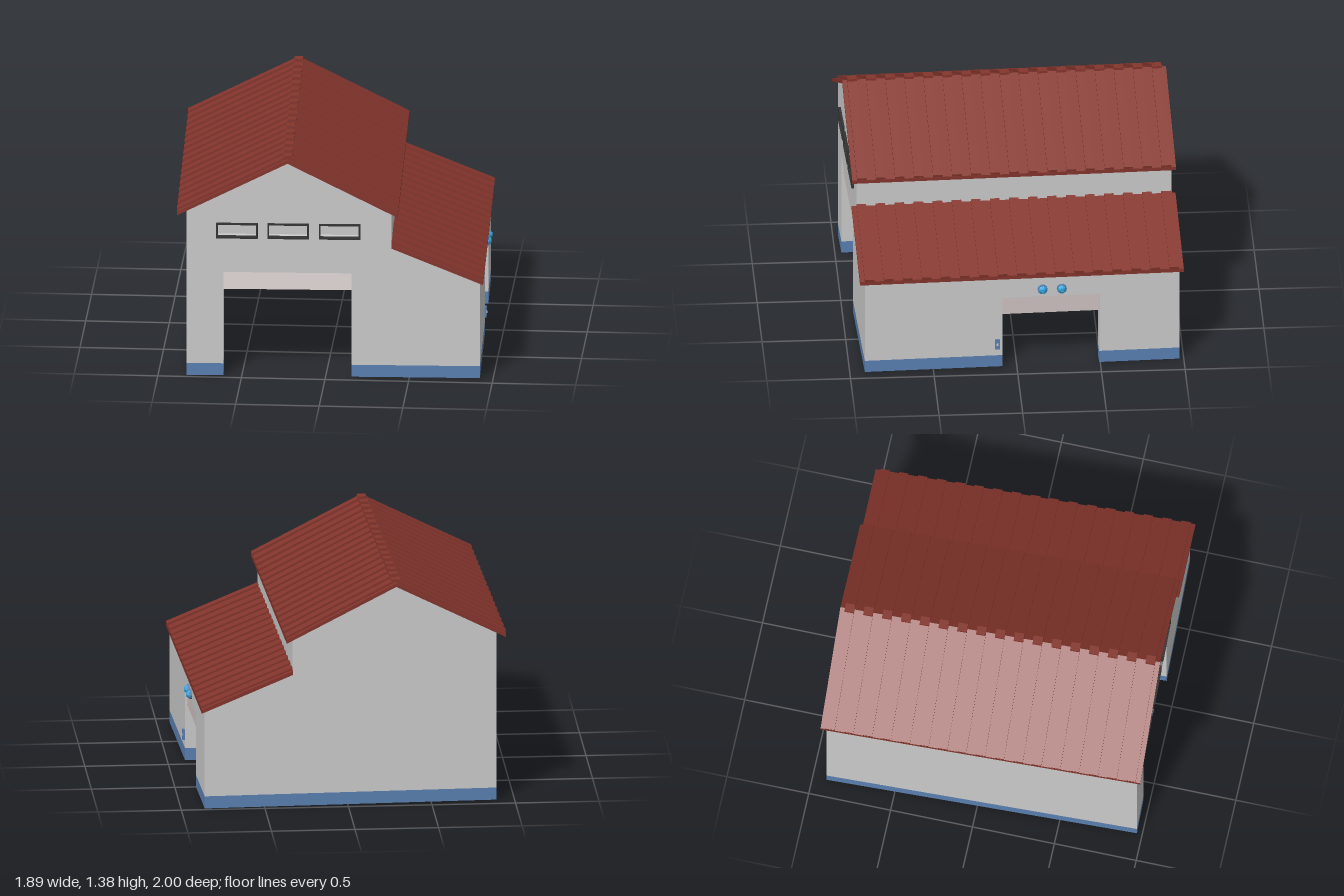
import * as THREE from 'three';

const paint = (color, side = THREE.FrontSide) =>
  new THREE.MeshStandardMaterial({ color, side, flatShading: true });

export function createModel() {
  const model = new THREE.Group();
  const barn = new THREE.Group();
  barn.name = 'barn';
  barn.rotation.y = 0.033; // stands slightly turned
  model.add(barn);

  const grey = paint(0xcccccc), blue = paint(0x5a80b2), red = paint(0x84352c);
  const slatGrey = paint(0xb4a9a8), dark = paint(0x333333), lampBlue = paint(0x35a5dd);

  const L = -0.862, R = 0.89, F = 0.94, B = -0.945; // outer wall faces
  const T = 0.08, BAND = 0.075, ROOF = 0.97;        // wall thickness, band height, roof half depth

  const add = (name, geometry, material, parent = barn) => {
    const mesh = new THREE.Mesh(geometry, material);
    mesh.name = name;
    parent.add(mesh);
    return mesh;
  };
  // box given by its limits
  const box = (name, mat, x0, x1, y0, y1, z0, z1, parent) =>
    add(name, new THREE.BoxGeometry(x1 - x0, y1 - y0, z1 - z0), mat, parent)
      .position.set((x0 + x1) / 2, (y0 + y1) / 2, (z0 + z1) / 2);
  const shapeOf = pts => new THREE.Shape(pts.map(p => new THREE.Vector2(...p)));
  const rect = (x0, x1, y0, y1) => [[x0, y0], [x1, y0], [x1, y1], [x0, y1]];
  const extrude = (shape, z0, z1) =>
    new THREE.ExtrudeGeometry(shape, { depth: z1 - z0, bevelEnabled: false }).translate(0, 0, z0);

  // gable walls, the front one with a door notch and windows
  const door = { x0: -0.642, x1: 0.122, top: 0.65 };
  const windows = [-0.56, -0.255, 0.053].map(c => [c - 0.124, c + 0.124, 0.865, 0.96]);
  const gable = [[R, BAND], [R, 0.605], [0.363, 0.82], [0.363, 1.033], [-0.258, 1.346], [L, 1.042], [L, BAND]];
  add('backWall', extrude(shapeOf(gable), B, B + T), grey);
  const front = shapeOf([...gable, [door.x0, BAND], [door.x0, door.top], [door.x1, door.top], [door.x1, BAND]]);
  windows.forEach(w => front.holes.push(shapeOf(rect(...w))));
  add('frontWall', extrude(front, F - T, F), grey);

  // window frames
  for (const [x0, x1, y0, y1] of windows) {
    const frame = shapeOf(rect(x0, x1, y0, y1)), t = 0.01;
    frame.holes.push(shapeOf(rect(x0 + t, x1 - t, y0 + t, y1 - t)));
    add('windowFrame', extrude(frame, F - 0.02, F + 0.015), dark);
  }

  // side walls
  const side = { z0: -0.465, z1: 0.115, top: 0.46 };
  const zi = B + T, zo = F - T;
  box('leftWall', grey, L, L + T, BAND, 1.04, zi, zo);
  box('upperSideWall', grey, 0.363 - T, 0.363, 0.82, 1.033, zi, zo);
  box('rightWallRear', grey, R - T, R, BAND, 0.605, zi, side.z0);
  box('rightWallFront', grey, R - T, R, BAND, 0.605, side.z1, zo);
  box('rightWallLintel', grey, R - T, R, side.top, 0.605, side.z0, side.z1);

  // blue base band, broken at the doors
  [[L, R, B, zi], [L, door.x0, zo, F], [door.x1, R, zo, F], [L, L + T, zi, zo],
    [R - T, R, zi, side.z0], [R - T, R, side.z1, zo]]
    .forEach(([x0, x1, z0, z1]) => box('baseBand', blue, x0, x1, 0, BAND, z0, z1));

  // rolled-up shutters: tilted slats outside, a blue panel inside
  const shutter = (name, width, height, slats) => {
    const group = new THREE.Group();
    group.name = name;
    const h = height / slats;
    for (let i = 0; i < slats; i++) {
      const y = i * h;
      const slat = shapeOf([[0, y], [0.018, y], [0.008, y + h], [0, y + h]]);
      add('slat', extrude(slat, -width / 2, width / 2).rotateY(-Math.PI / 2), slatGrey, group);
    }
    box('shutterBack', blue, -width / 2, width / 2, 0, height, -0.03, -0.001, group);
    barn.add(group);
    return group;
  };
  shutter('frontShutter', door.x1 - door.x0, 0.11, 5)
    .position.set((door.x0 + door.x1) / 2, door.top - 0.11, F - 0.03);
  const sideShutter = shutter('sideShutter', side.z1 - side.z0, 0.115, 4);
  sideShutter.position.set(R - 0.03, side.top - 0.115, (side.z0 + side.z1) / 2);
  sideShutter.rotation.y = Math.PI / 2;

  // roofs: a thin slab with raised ribs running down the slope
  const roof = (name, slab, rib) => {
    const group = new THREE.Group();
    group.name = name;
    barn.add(group);
    add('roofSlab', extrude(shapeOf(slab), -ROOF, ROOF), red, group);
    const count = 17, step = 2 * ROOF / count;
    const ribGeometry = extrude(shapeOf(rib), -step / 4, step / 4);
    for (let i = 0; i < count; i++)
      add('roofRib', ribGeometry, red, group).position.z = -ROOF + (i + 0.5) * step;
  };
  roof('mainRoof',
    [[-0.917, 1.013], [-0.258, 1.345], [0.4, 1.013], [0.4, 1.035], [-0.258, 1.368], [-0.917, 1.035]],
    [[-0.915, 1.025], [-0.258, 1.355], [0.398, 1.025], [0.402, 1.049], [-0.232, 1.37],
      [-0.232, 1.384], [-0.284, 1.384], [-0.284, 1.37], [-0.919, 1.049]]);
  roof('leanToRoof',
    [[0.362, 0.819], [0.91, 0.595], [0.91, 0.619], [0.362, 0.843]],
    [[0.362, 0.83], [0.909, 0.606], [0.913, 0.632], [0.362, 0.856]]);

  // lamps above the side door
  for (const z of [-0.125, -0.24]) {
    const lamp = new THREE.Group();
    lamp.name = 'lamp';
    lamp.position.set(R, 0.51, z);
    lamp.rotation.z = -Math.PI / 2;
    add('lampBase', new THREE.CylinderGeometry(0.03, 0.03, 0.014, 10), blue, lamp).position.y = 0.007;
    add('lampBulb', new THREE.CylinderGeometry(0.014, 0.026, 0.018, 10), lampBlue, lamp).position.y = 0.023;
    barn.add(lamp);
  }

  // door control beside the side door
  box('controlBox', blue, R, R + 0.012, 0.12, 0.185, 0.13, 0.16);
  box('controlButton', grey, R + 0.012, R + 0.016, 0.147, 0.159, 0.139, 0.151);

  return model;
}
